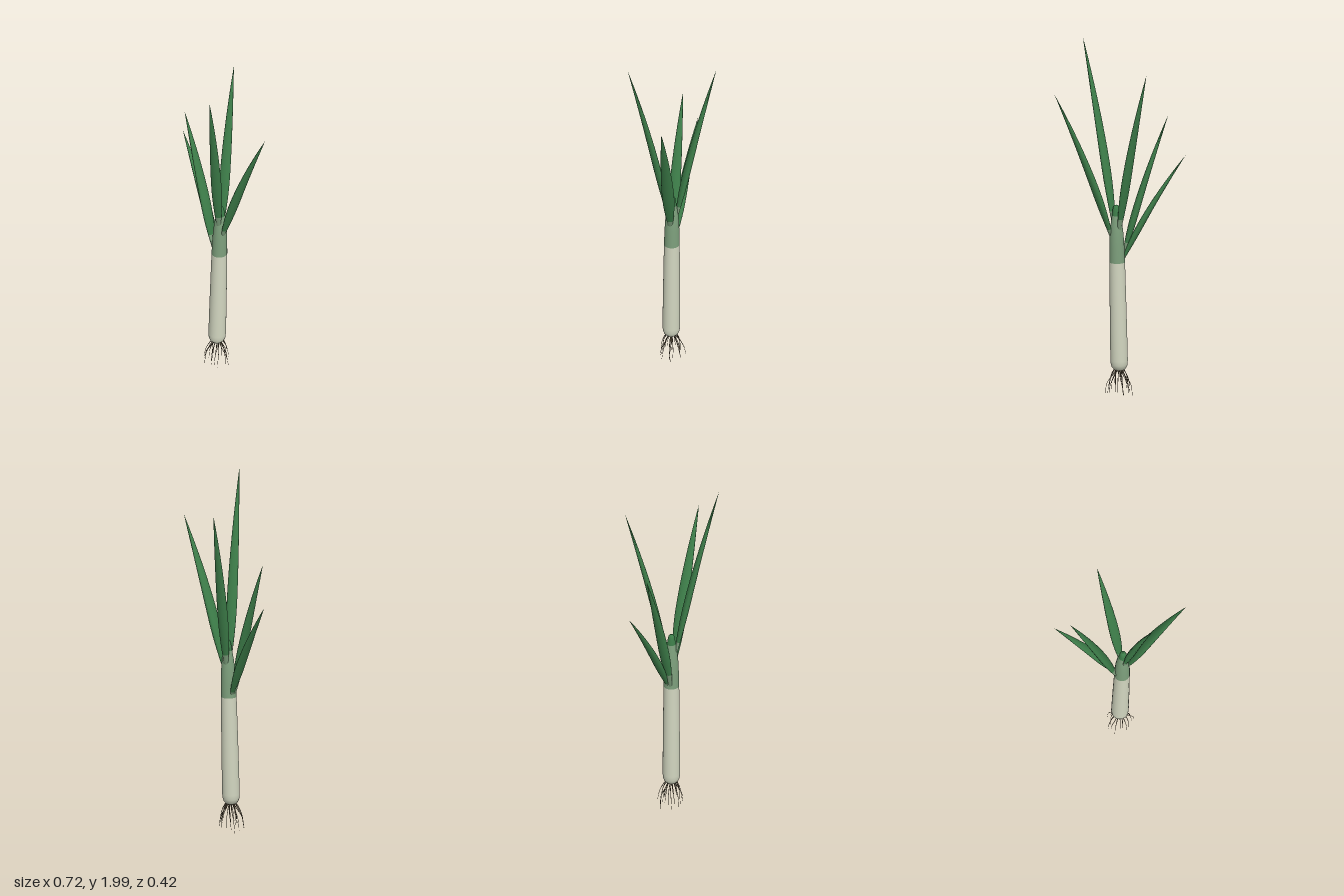
import * as THREE from 'three';

const mat = (name, color, side = THREE.FrontSide) => {
  const m = new THREE.MeshStandardMaterial({ color, side });
  m.name = name;
  return m;
};
const V = (x, y, z) => new THREE.Vector3(x, y, z);

// Tube swept along a curve; size(t) gives [half width, outer depth, inner depth]
function sweep(curve, out, size, rings, sides, split = 0) {
  const pos = [], index = [];
  const side = V(0, 1, 0).cross(out).normalize();
  for (let i = 0; i <= rings; i++) {
    const t = i / rings, c = curve.getPoint(t), tan = curve.getTangent(t);
    const inner = tan.clone().cross(side);
    const [w, outer, inn] = size(t);
    for (let j = 0; j < sides; j++) {
      const a = (j / sides) * Math.PI * 2, s = Math.sin(a);
      const p = c.clone().addScaledVector(side, Math.cos(a) * w)
        .addScaledVector(inner, s * (s > 0 ? inn : outer));
      pos.push(p.x, p.y, p.z);
      if (i < rings) {
        const k = (j + 1) % sides, r = i * sides, n = r + sides;
        index.push(r + j, r + k, n + j, r + k, n + k, n + j);
      }
    }
  }
  const g = new THREE.BufferGeometry();
  g.setAttribute('position', new THREE.Float32BufferAttribute(pos, 3));
  g.setIndex(index);
  g.computeVertexNormals();
  const cut = split * sides * 6;
  g.addGroup(0, cut, 0);
  g.addGroup(cut, index.length - cut, 1);
  return g;
}

export function createModel() {
  const group = new THREE.Group();
  const white = mat('shankWhite', 0xd2d6c0);
  const pale = mat('paleGreen', 0x7d9f7c);
  const green = mat('leafGreen', 0x3d7d49);
  const brown = mat('rootBrown', 0x75664f);

  const add = (name, geometry, material) => {
    const m = new THREE.Mesh(geometry, material);
    m.name = name;
    group.add(m);
  };

  // Lathed stem sections, leaning slightly
  const stem = (name, profile, material) => {
    const g = new THREE.LatheGeometry(profile.map(p => new THREE.Vector2(...p)), 28);
    const p = g.attributes.position;
    for (let i = 0; i < p.count; i++) {
      const t = (p.getY(i) - 0.16) / 0.94;
      p.setX(i, p.getX(i) + 0.019 * t - 0.002);
      p.setZ(i, p.getZ(i) + 0.012 - 0.011 * t);
    }
    add(name, g, material);
  };
  stem('rootPlate', [[0, 0.158], [0.022, 0.16], [0.03, 0.167]], brown);
  stem('whiteShank', [[0.03, 0.167], [0.04, 0.178], [0.046, 0.195], [0.048, 0.22],
    [0.047, 0.4], [0.045, 0.6], [0.043, 0.775]], white);
  stem('greenShank', [[0.043, 0.775], [0.041, 0.86], [0.038, 0.93], [0.032, 0.99],
    [0.024, 1.04]], pale);
  stem('coreShoot', [[0.024, 1.04], [0.02, 1.07], [0.017, 1.085], [0.01, 1.097],
    [0, 1.1]], green);

  // Leaves: base, tip, half width, ring where the pale base ends
  const leaves = [
    ['frontLeaf', V(0.022, 0.95, 0.018), V(0.175, 2.0, 0.21), 0.029, 4],
    ['backLeaf', V(0.006, 0.93, -0.014), V(-0.125, 1.88, -0.21), 0.029, 4],
    ['leftLeaf', V(0.036, 0.9, 0.006), V(0.36, 1.74, -0.03), 0.034, 3],
    ['rightUpperLeaf', V(-0.018, 0.78, 0.016), V(-0.272, 1.592, 0.018), 0.031, 5],
    ['rightLowerLeaf', V(-0.018, 0.785, 0.0), V(-0.36, 1.378, -0.043), 0.028, 2],
  ];
  for (const [name, base, tip, w, split] of leaves) {
    const out = V(tip.x - base.x, 0, tip.z - base.z);
    const mid = base.clone().lerp(tip, 0.45).addScaledVector(out, -0.13);
    const curve = new THREE.QuadraticBezierCurve3(base, mid, tip);
    const size = t => {
      const s = t < 0.35
        ? 0.3 + 0.7 * Math.sin((t / 0.35) * Math.PI / 2)
        : Math.pow(Math.max(0, 1 - Math.pow((t - 0.35) / 0.65, 1.7)), 0.95);
      return [w * s, w * 0.75 * s, w * 0.5 * s];
    };
    add(name, sweep(curve, out, size, 36, 16, split), [pale, green]);
  }

  // Roots flaring out and drooping
  let seed = 7;
  const rnd = () => (seed = (seed * 16807) % 2147483647) / 2147483647;
  const count = 18;
  for (let i = 0; i < count; i++) {
    const a = (i + rnd() * 0.7) / count * Math.PI * 2;
    const reach = 0.045 + 0.036 * rnd(), low = 0.012 + 0.045 * rnd();
    const bend = a + (rnd() - 0.5) * 0.7;
    const at = (r, y, ang) => V(Math.cos(ang) * r, y, 0.01 + Math.sin(ang) * r);
    const start = 0.012 + 0.013 * (i % 2);
    const curve = new THREE.CatmullRomCurve3([
      at(start, 0.17, a), at(start + reach * 0.3, 0.135, a),
      at(reach * 0.88, 0.09, (a + bend) / 2), at(reach, low, bend)]);
    const size = t => { const r = 0.0028 * (1 - 0.75 * t); return [r, r, r]; };
    add('root', sweep(curve, V(Math.cos(a), 0, Math.sin(a)), size, 12, 6), [brown, brown]);
  }
  return group;
}
